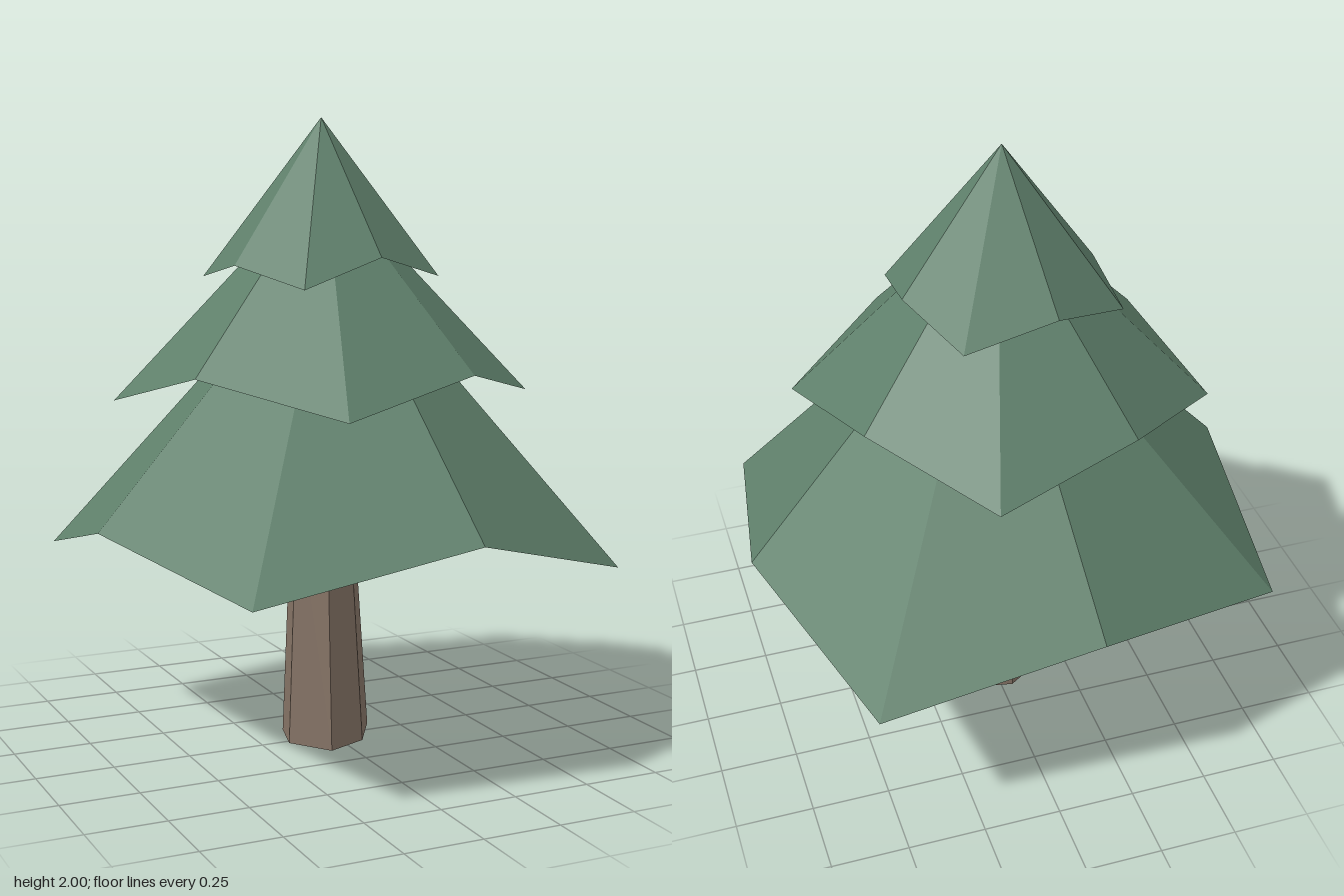
import * as THREE from 'three';

const needles = new THREE.MeshStandardMaterial({ color: 0x5f806b });
needles.name = 'needle green';
const bark = new THREE.MeshStandardMaterial({ color: 0x857365 });
bark.name = 'bark brown';

// Faceted solid through a stack of rings, closed by an underside and a top point.
// Rings run clockwise seen from above; unshared corners keep the facets flat.
function facetedSolid(name, material, rings, top) {
  const pos = [];
  const tri = (a, b, c) => pos.push(...a, ...b, ...c);

  // Underside: cut off every second corner until nothing is left
  let corners = rings[0];
  while (corners.length > 2) {
    const m = corners.length;
    for (let i = 0; i + 1 < m; i += 2) tri(corners[i], corners[i + 1], corners[(i + 2) % m]);
    corners = corners.filter((_, i) => i % 2 === 0);
  }
  const undersideCount = pos.length / 3;

  // Sides and top
  const n = rings[0].length;
  const last = rings[rings.length - 1];
  for (let i = 0; i < n; i++) {
    const j = (i + 1) % n;
    for (let k = 0; k + 1 < rings.length; k++) {
      const lo = rings[k], hi = rings[k + 1];
      tri(lo[i], hi[i], hi[j]);
      tri(lo[i], hi[j], lo[j]);
    }
    tri(top, last[j], last[i]);
  }

  const geo = new THREE.BufferGeometry();
  geo.setAttribute('position', new THREE.Float32BufferAttribute(pos, 3));
  geo.computeVertexNormals();
  // The underside shades as one single face
  for (let i = 0; i < undersideCount; i++) geo.attributes.normal.setXYZ(i, 0, -1, 0);
  const mesh = new THREE.Mesh(geo, material);
  mesh.name = name;
  return mesh;
}

// Branch tiers: apex and a zigzag rim of eight corners, high and low in turn
const tiers = [
  {
    name: 'lowerBranches', apex: [0, 1.645, -0.01],
    rim: [
      [-0.107, 0.738, -0.815], [0.572, 0.553, -0.74], [0.813, 0.723, -0.10], [0.717, 0.613, 0.57],
      [0.10, 0.783, 0.813], [-0.58, 0.648, 0.73], [-0.815, 0.765, 0.09], [-0.757, 0.602, -0.597],
    ],
  },
  {
    name: 'middleBranches', apex: [-0.028, 1.825, 0],
    rim: [
      [-0.298, 1.243, -0.517], [0.163, 1.148, -0.627], [0.47, 1.253, -0.27], [0.59, 1.138, 0.207],
      [0.23, 1.233, 0.51], [-0.24, 1.133, 0.63], [-0.56, 1.233, 0.25], [-0.665, 1.123, -0.197],
    ],
  },
  {
    name: 'topBranches', apex: [-0.037, 2, -0.005],
    rim: [
      [-0.107, 1.583, -0.335], [0.177, 1.508, -0.32], [0.295, 1.583, -0.085], [0.277, 1.51, 0.19],
      [0.023, 1.578, 0.302], [-0.235, 1.488, 0.31], [-0.353, 1.55, 0.05], [-0.357, 1.503, -0.21],
    ],
  },
];

export function createModel() {
  const tree = new THREE.Group();
  tree.name = 'pineTree';

  // Seven-sided trunk, tapering upwards into the lowest tier
  const foot = [
    [0.134, 0.018, -0.015], [0.06, 0.004, 0.10], [-0.07, 0, 0.145], [-0.175, 0.01, 0.045],
    [-0.14, 0.01, -0.09], [-0.035, 0.008, -0.158], [0.085, 0.015, -0.14],
  ];
  const head = foot.map(([x, , z]) => [-0.028 + (x + 0.02) * 0.7, 0.8, -0.014 + (z + 0.005) * 0.72]);
  tree.add(facetedSolid('trunk', bark, [foot, head], [-0.028, 0.8, -0.014]));

  // Three overlapping skirts of branches
  for (const t of tiers) tree.add(facetedSolid(t.name, needles, [t.rim], t.apex));

  return tree;
}
